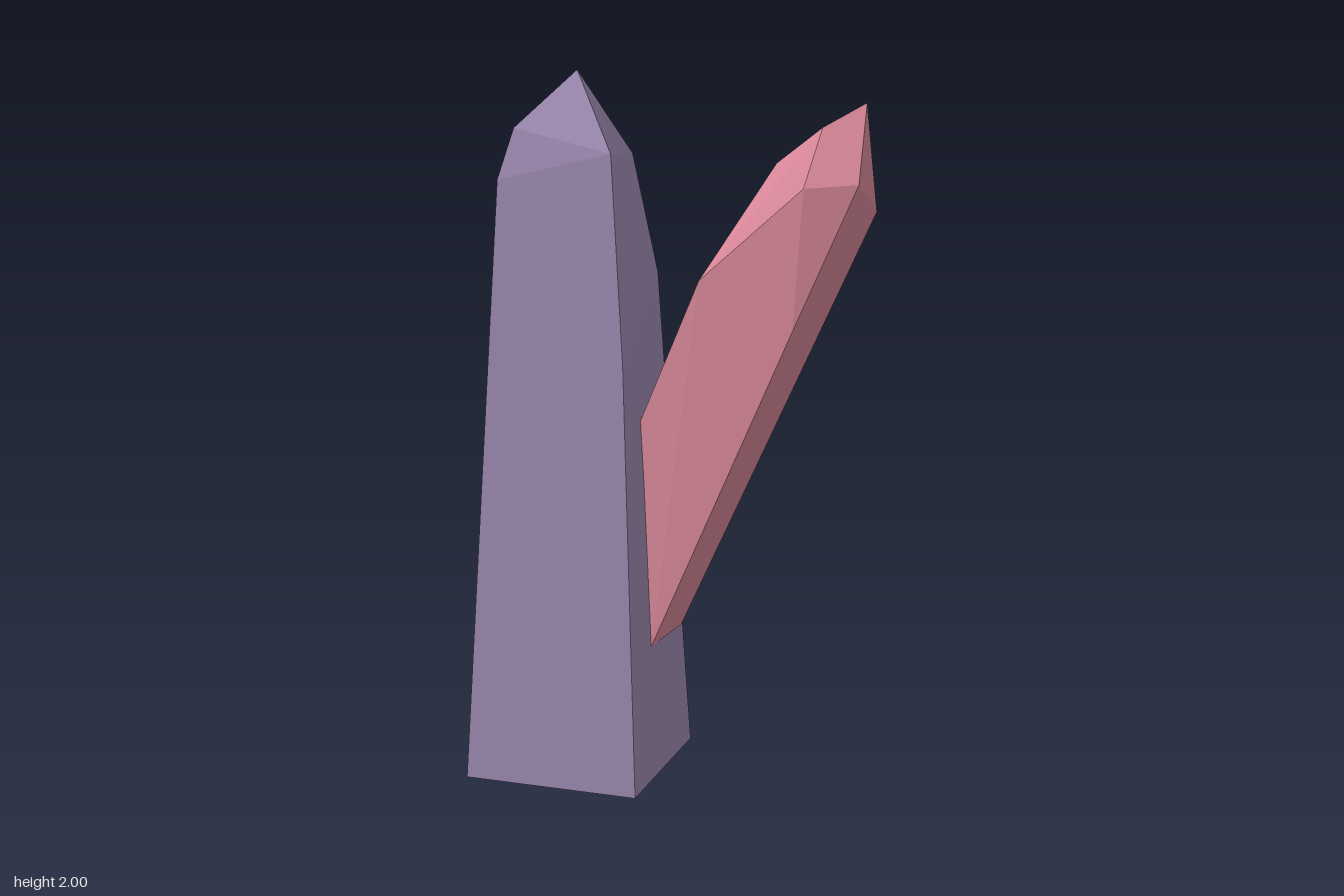
import * as THREE from 'three';
import { ConvexGeometry } from 'three/addons/geometries/ConvexGeometry.js';

// A faceted crystal is the convex hull of its corner points.
function crystal(name, material, corners) {
  const points = corners.map(([x, y, z]) => new THREE.Vector3(x, y, z));
  const mesh = new THREE.Mesh(new ConvexGeometry(points), material);
  mesh.name = name;
  return mesh;
}

export function createModel() {
  const purple = new THREE.MeshStandardMaterial({ color: 0x9b88ae, flatShading: true });
  purple.name = 'purple crystal';
  const pink = new THREE.MeshStandardMaterial({ color: 0xd88898, flatShading: true });
  pink.name = 'pink crystal';

  const model = new THREE.Group();
  model.name = 'crystalCluster';

  model.add(crystal('uprightCrystal', purple, [
    // foot
    [-0.56, 0, -0.05], [-0.16, 0, 0.27], [0.16, 0, -0.13], [-0.24, 0, -0.45],
    // bends in the four long edges
    [-0.44, 1.70, -0.065], [-0.165, 1.20, 0.19], [0.05, 1.43, -0.12], [-0.23, 1.20, -0.37],
    // shoulders
    [-0.39, 1.84, -0.07], [-0.175, 1.77, 0.125], [-0.02, 1.77, -0.14], [-0.23, 1.77, -0.30],
    // tip
    [-0.20, 2.0, -0.09],
  ]));

  model.add(crystal('leaningCrystal', pink, [
    // slanted root, set against the upright crystal
    [-0.055, 0.38, 0.11], [0.11, 0.38, -0.08], [-0.08, 1.03, 0.09], [0.07, 1.02, -0.105],
    // bends in the long edges
    [0.25, 1.30, 0.38], [0.045, 1.43, 0.215], [0.22, 1.40, -0.02],
    // shoulders
    [0.56, 1.61, 0.255], [0.405, 1.69, 0.45], [0.27, 1.68, 0.395],
    [0.275, 1.745, 0.21], [0.39, 1.79, 0.175], [0.345, 1.84, 0.35],
    // tip
    [0.465, 1.905, 0.37],
  ]));

  return model;
}
